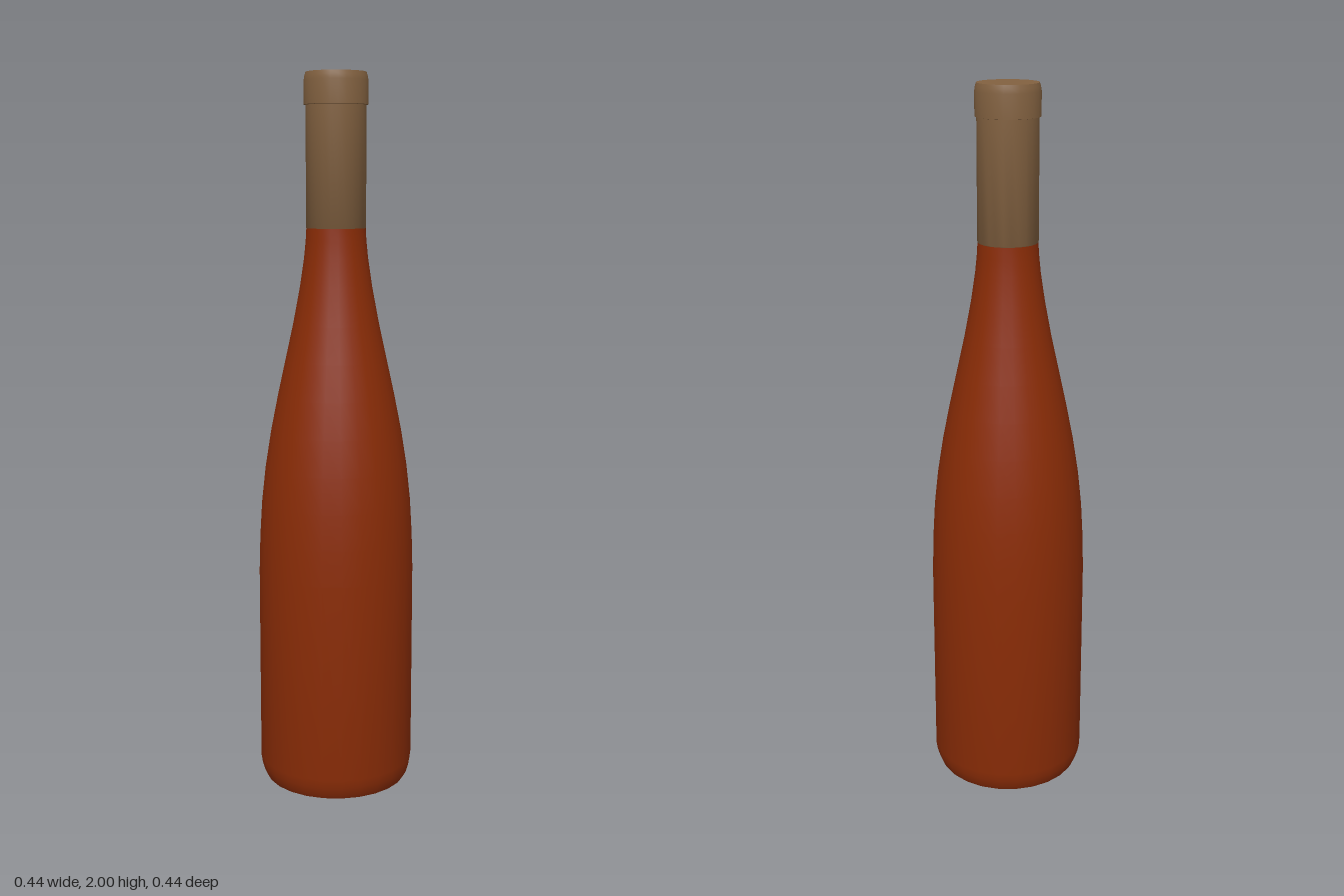
import * as THREE from 'three';
import { toCreasedNormals } from 'three/addons/utils/BufferGeometryUtils.js';

const SIDES = 25;

// Turned part from [radius, height] pairs, listed from the bottom axis outwards and up
function turned(name, profile, material) {
  const points = profile.map(([r, y]) => new THREE.Vector2(r, y));
  const lathe = new THREE.LatheGeometry(points, SIDES, Math.PI);
  const mesh = new THREE.Mesh(toCreasedNormals(lathe, 0.7), material);
  mesh.name = name;
  return mesh;
}

function flatColour(name, color) {
  const material = new THREE.MeshStandardMaterial({ color, side: THREE.DoubleSide });
  material.name = name;
  return material;
}

export function createModel() {
  const glass = flatColour('amber glass', 0x8a2c06);
  const brightGlass = flatColour('bright amber glass', 0xac3d06);
  const foil = flatColour('tan foil', 0x826140);

  const bottle = new THREE.Group();
  bottle.name = 'bottle';

  // Hollow dome under the base
  bottle.add(turned('punt', [
    [0, 0.1], [0.05, 0.093], [0.1, 0.072], [0.145, 0.04], [0.18, 0],
  ], brightGlass));

  // Flat ring the bottle stands on
  bottle.add(turned('baseRing', [[0.18, 0], [0.202, 0]], foil));

  // Straight body, long sloping shoulder and lower neck
  bottle.add(turned('body', [
    [0.202, 0], [0.209, 0.012], [0.216, 0.035], [0.22, 0.06],
    [0.22, 0.62], [0.217, 0.72], [0.211, 0.82], [0.2, 0.92], [0.184, 1.02],
    [0.164, 1.12], [0.142, 1.22], [0.12, 1.32], [0.101, 1.42], [0.089, 1.5],
    [0.084, 1.55], [0.082, 1.585],
  ], glass));

  // Foil sleeve around the neck
  bottle.add(turned('neckFoil', [[0.082, 1.583], [0.083, 1.585], [0.083, 1.914]], foil));

  // Thicker lip with a bevelled rim closing the top
  bottle.add(turned('cap', [
    [0.083, 1.913], [0.088, 1.914], [0.088, 1.978], [0.086, 1.99], [0.083, 2], [0, 2],
  ], foil));

  return bottle;
}
